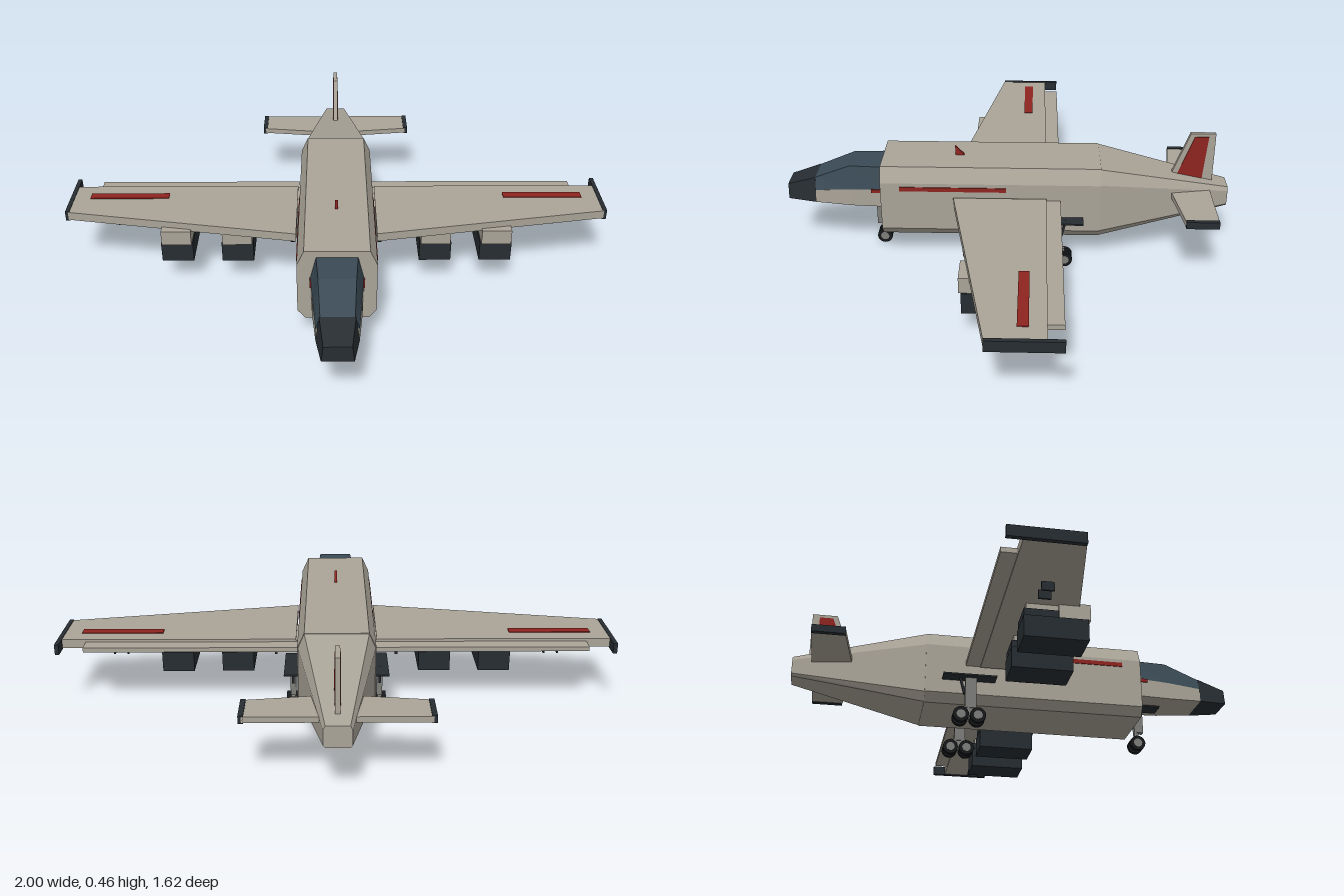
import * as THREE from 'three';

const mat = (color) => new THREE.MeshStandardMaterial({ color, flatShading: true, side: THREE.DoubleSide });
const HULL = mat(0xaaa498), DARK = mat(0x272d32), GLASS = mat(0x3a4a55), RED = mat(0x8e2420),
  METAL = mat(0x7d7d7a), BLACK = mat(0x16181a);

export function createModel() {
  const root = new THREE.Group();

  const add = (name, geo, material, parent = root) => {
    const m = new THREE.Mesh(geo, material);
    m.name = name;
    parent.add(m);
    return m;
  };
  // Box given by its limits on each axis
  const box = (name, [x0, x1], [y0, y1], [z0, z1], material, parent) => {
    const g = new THREE.BoxGeometry(Math.abs(x1 - x0), y1 - y0, Math.abs(z1 - z0));
    g.translate((x0 + x1) / 2, (y0 + y1) / 2, (z0 + z1) / 2);
    return add(name, g, material, parent);
  };
  // Horizontal slab from [x, z] corners
  const slab = (name, pts, y0, y1, material, parent) => {
    const g = new THREE.ExtrudeGeometry(new THREE.Shape(pts.map(([x, z]) => new THREE.Vector2(x, -z))),
      { depth: y1 - y0, bevelEnabled: false });
    g.rotateX(-Math.PI / 2).translate(0, y0, 0);
    return add(name, g, material, parent);
  };
  // Upright slab from [z, y] corners, centred on x = 0
  const blade = (name, pts, width, material, parent) => {
    const g = new THREE.ExtrudeGeometry(new THREE.Shape(pts.map(([z, y]) => new THREE.Vector2(z, y))),
      { depth: width, bevelEnabled: false });
    g.translate(0, 0, -width / 2).rotateY(-Math.PI / 2);
    return add(name, g, material, parent);
  };
  // Skin over cross-sections ordered back to front, each counter-clockwise from the front
  const loft = (name, rings, material) => {
    const pos = [], n = rings[0].length;
    const tri = (...v) => v.forEach((p) => pos.push(...p));
    for (let i = 0; i < rings.length - 1; i++) {
      for (let j = 0; j < n; j++) {
        const k = (j + 1) % n, a = rings[i], b = rings[i + 1];
        tri(a[j], a[k], b[k]);
        tri(a[j], b[k], b[j]);
      }
    }
    const first = rings[0], last = rings[rings.length - 1];
    for (let j = 1; j < n - 1; j++) {
      tri(first[0], first[j + 1], first[j]);
      tri(last[0], last[j], last[j + 1]);
    }
    const g = new THREE.BufferGeometry();
    g.setAttribute('position', new THREE.Float32BufferAttribute(pos, 3));
    g.computeVertexNormals();
    return add(name, g, material);
  };
  const quad = (z, wb, yb, wt, yt) => [[-wb, yb, z], [wb, yb, z], [wt, yt, z], [-wt, yt, z]];
  const oct = (z, w, f, y0, y1, y2, y3) => [[-f, y0, z], [f, y0, z], [w, y1, z], [w, y2, z],
    [f, y3, z], [-f, y3, z], [-w, y2, z], [-w, y1, z]];

  // Fuselage and tapered tail
  loft('fuselage', [
    oct(-0.34, 0.135, 0.11, 0.093, 0.125, 0.31, 0.365),
    oct(0.455, 0.135, 0.11, 0.093, 0.125, 0.31, 0.365),
  ], HULL);
  loft('tailCone', [
    oct(-0.81, 0.045, 0.038, 0.19, 0.198, 0.25, 0.265),
    oct(-0.34, 0.132, 0.11, 0.095, 0.125, 0.31, 0.363),
  ], HULL);

  // Cockpit
  loft('cockpitHull', [
    quad(0.45, 0.09, 0.19, 0.09, 0.26),
    quad(0.575, 0.082, 0.19, 0.082, 0.255),
    quad(0.705, 0.07, 0.195, 0.07, 0.245),
  ], HULL);
  loft('canopy', [
    quad(0.45, 0.09, 0.26, 0.07, 0.342),
    quad(0.575, 0.08, 0.255, 0.062, 0.342),
    quad(0.705, 0.07, 0.245, 0.055, 0.29),
  ], GLASS);
  loft('nose', [
    quad(0.705, 0.07, 0.195, 0.058, 0.29),
    quad(0.81, 0.052, 0.2, 0.045, 0.257),
  ], DARK);
  add('cockpitCollar', new THREE.CylinderGeometry(0.082, 0.082, 0.01, 24)
    .rotateX(Math.PI / 2).translate(0, 0.222, 0.455), DARK);

  // Tail fin and dorsal marker
  blade('tailFin', [[-0.6, 0.29], [-0.665, 0.462], [-0.755, 0.462], [-0.755, 0.25], [-0.6, 0.25]], 0.016, HULL);
  blade('finPanel', [[-0.625, 0.3], [-0.68, 0.45], [-0.73, 0.45], [-0.717, 0.285]], 0.02, RED);
  blade('dorsalMarker', [[0.19, 0.36], [0.19, 0.402], [0.152, 0.36]], 0.01, RED);

  const wheel = (x, z, parent) => {
    add('tyre', new THREE.CylinderGeometry(0.028, 0.028, 0.016, 20)
      .rotateZ(Math.PI / 2).translate(x, 0.028, z), BLACK, parent);
    add('wheelHub', new THREE.CylinderGeometry(0.016, 0.016, 0.018, 16)
      .rotateZ(Math.PI / 2).translate(x, 0.028, z), METAL, parent);
  };

  for (const s of [1, -1]) {
    const X = (a, b) => [s * a, s * b];

    // Wing with flap, tip and markings
    const wing = new THREE.Group();
    wing.name = s > 0 ? 'leftWing' : 'rightWing';
    root.add(wing);
    slab('wingPanel', [[s * 0.145, 0.19], [s * 0.99, 0.04], [s * 0.99, -0.145], [s * 0.145, -0.145]],
      0.228, 0.26, HULL, wing);
    box('flap', X(0.14, 0.9), [0.233, 0.25], [-0.197, -0.14], HULL, wing);
    box('wingRoot', X(0.12, 0.15), [0.233, 0.255], [-0.145, 0.0], HULL, wing);
    box('wingTip', X(0.985, 1.0), [0.224, 0.262], [-0.197, 0.04], DARK, wing);
    box('wingStripe', X(0.63, 0.925), [0.258, 0.263], [-0.09, -0.055], RED, wing);

    // Boxy engines under the wing
    for (const x of [0.362, 0.583]) {
      box('enginePod', X(x - 0.058, x + 0.058), [0.105, 0.18], [-0.08, 0.13], DARK, wing);
      box('engineUpperPod', X(x - 0.05, x + 0.05), [0.18, 0.208], [-0.078, 0.04], DARK, wing);
      box('engineIntake', X(x - 0.054, x + 0.054), [0.18, 0.236], [0.035, 0.138], HULL, wing);
      box('enginePylon', X(x - 0.045, x + 0.045), [0.2, 0.23], [-0.07, 0.04], HULL, wing);
    }
    // Small fittings under the wing
    for (const x of [0.77, 0.82]) {
      box('underwingFitting', X(x - 0.003, x + 0.003), [0.165, 0.195], [-0.06, -0.02], DARK, wing);
    }
    box('underwingProbe', X(0.22, 0.23), [0.145, 0.17], [-0.02, 0.02], DARK, wing);

    // Body and cockpit side stripes
    box('bodyStripe', X(0.13, 0.138), [0.28, 0.296], [0.0, 0.385], RED);
    box('cockpitStripe', X(0.08, 0.092), [0.247, 0.26], [0.455, 0.495], RED);

    // Tailplane
    slab('tailplane', [[s * 0.03, -0.594], [s * 0.295, -0.627], [s * 0.295, -0.742], [s * 0.03, -0.742]],
      0.24, 0.26, HULL);
    box('tailplaneTip', X(0.288, 0.305), [0.237, 0.263], [-0.742, -0.627], DARK);

    // Main landing gear with four wheels
    const gear = new THREE.Group();
    gear.name = s > 0 ? 'leftMainGear' : 'rightMainGear';
    root.add(gear);
    box('gearPlate', X(0.125, 0.185), [0.175, 0.181], [-0.28, -0.09], DARK, gear);
    box('gearStrut', X(0.145, 0.165), [0.06, 0.178], [-0.2, -0.16], METAL, gear);
    box('gearAxleBeam', X(0.148, 0.162), [0.022, 0.065], [-0.215, -0.155], METAL, gear);
    const brace = box('gearBrace', [-0.004, 0.004], [-0.035, 0.035], [-0.004, 0.004], DARK, gear);
    brace.position.set(s * 0.155, 0.148, -0.21);
    brace.rotation.x = -0.25;
    for (const z of [-0.155, -0.215]) for (const d of [-0.017, 0.017]) wheel(s * 0.155 + d, z, gear);
  }

  // Nose landing gear
  const noseGear = new THREE.Group();
  noseGear.name = 'noseGear';
  root.add(noseGear);
  box('gearPlate', [-0.03, 0.03], [0.175, 0.181], [0.455, 0.555], DARK, noseGear);
  box('gearStrut', [-0.01, 0.01], [0.075, 0.192], [0.458, 0.492], METAL, noseGear);
  box('gearFork', [-0.007, 0.007], [0.022, 0.08], [0.458, 0.475], METAL, noseGear);
  for (const d of [-0.017, 0.017]) wheel(d, 0.465, noseGear);

  return root;
}
